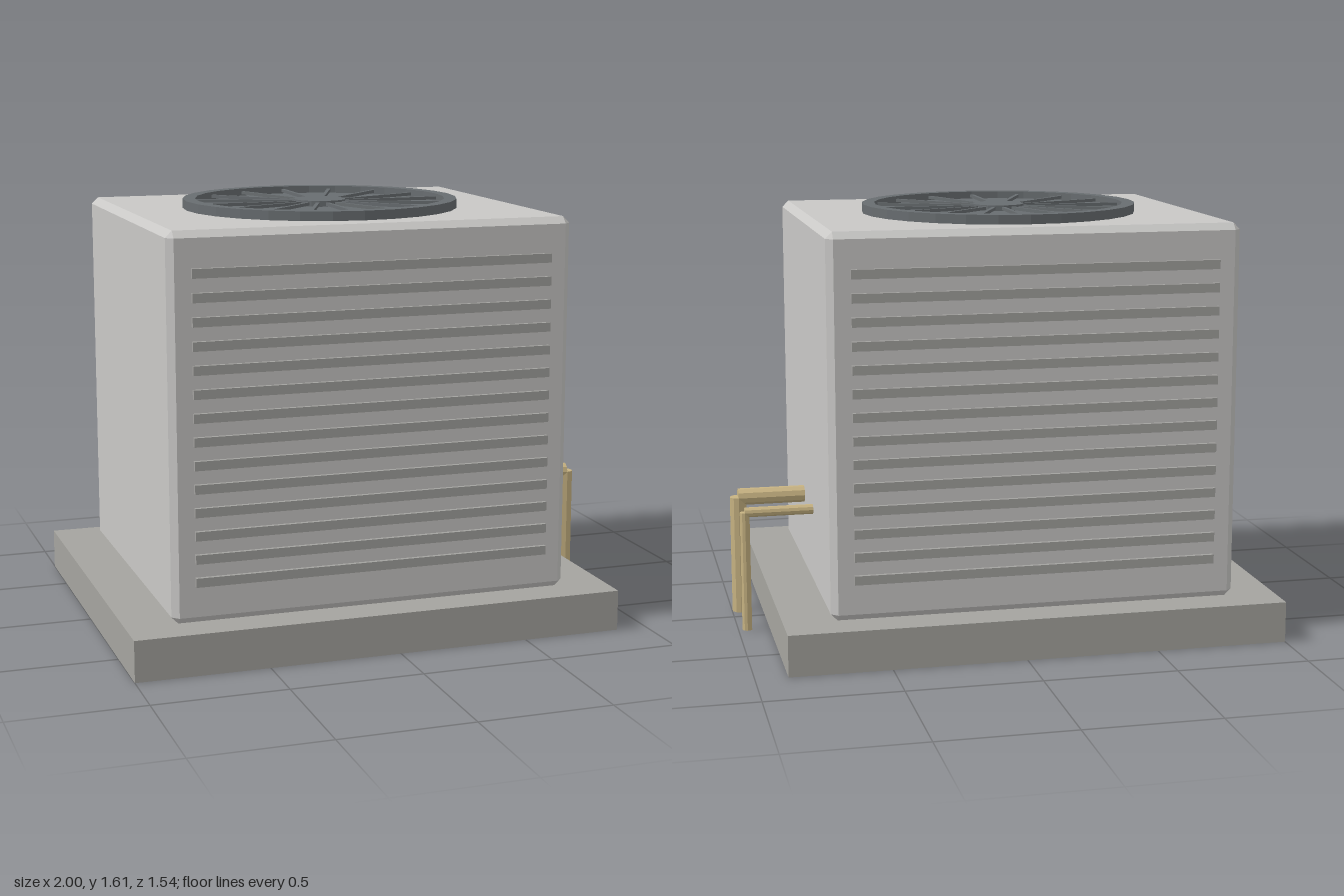
import * as THREE from 'three';
import { ConvexGeometry } from 'three/addons/geometries/ConvexGeometry.js';

const mat = (name, color) => {
  const m = new THREE.MeshStandardMaterial({ color });
  m.name = name;
  m.flatShading = true;
  return m;
};

// Box with a flat chamfer on every edge, centred on the origin
function chamferedBox(w, h, d, c) {
  const points = [];
  for (const sx of [-1, 1]) for (const sy of [-1, 1]) for (const sz of [-1, 1]) {
    for (let axis = 0; axis < 3; axis++) {
      const half = [w / 2 - c, h / 2 - c, d / 2 - c];
      half[axis] += c;
      points.push(new THREE.Vector3(sx * half[0], sy * half[1], sz * half[2]));
    }
  }
  return new ConvexGeometry(points);
}

export function createModel() {
  const model = new THREE.Group();
  model.name = 'airConditionerUnit';
  const concrete = mat('concrete', 0xa5a49f);
  const casing = mat('casing grey', 0xc9c8c6);
  const slatGrey = mat('slat grey', 0xa3a29f);
  const fanGrey = mat('fan grey', 0x686d70);
  const brass = mat('brass', 0xc8b483);

  const add = (parent, name, geometry, material, x = 0, y = 0, z = 0) => {
    const mesh = new THREE.Mesh(geometry, material);
    mesh.name = name;
    mesh.position.set(x, y, z);
    parent.add(mesh);
    return mesh;
  };

  const cx = -0.0625, baseTop = 0.155, bodyTop = 1.575;

  // Ground slab and casing
  add(model, 'slab', new THREE.BoxGeometry(1.88, baseTop, 1.536), concrete, -0.06, baseTop / 2, 0);
  add(model, 'casing', chamferedBox(1.535, bodyTop - baseTop, 1.3, 0.025), casing, cx, (bodyTop + baseTop) / 2, 0);

  // Louvre slats on front and back
  const slat = new THREE.BoxGeometry(1.365, 0.034, 0.03);
  for (const side of [1, -1]) {
    const louvres = new THREE.Group();
    louvres.name = side > 0 ? 'frontLouvres' : 'backLouvres';
    for (let i = 0; i < 14; i++) add(louvres, 'slat', slat, slatGrey, cx, 0.311 + i * 0.0858, side * 0.65);
    model.add(louvres);
  }

  // Fan on the top: ring, disc, spokes and hub
  const fan = new THREE.Group();
  fan.name = 'fan';
  fan.position.set(cx, bodyTop, 0);
  model.add(fan);
  const ringProfile = [[0.482, 0], [0.53, 0], [0.53, 0.035], [0.482, 0.035], [0.482, 0]]
    .map(([r, y]) => new THREE.Vector2(r, y));
  add(fan, 'ring', new THREE.LatheGeometry(ringProfile, 28), fanGrey);
  add(fan, 'disc', new THREE.CylinderGeometry(0.47, 0.47, 0.008, 28), fanGrey, 0, 0.004, 0);
  add(fan, 'hub', new THREE.CylinderGeometry(0.1, 0.1, 0.03, 20), fanGrey, 0, 0.015, 0);
  const spokeShape = new THREE.BoxGeometry(0.4, 0.012, 0.014).translate(0.285, 0.018, 0);
  for (let i = 0; i < 16; i++) add(fan, 'spoke', spokeShape, fanGrey).rotation.y = (i * Math.PI) / 8;

  // Two elbow pipes on the left side
  const pipeX = 0.966, pipeTop = 0.464;
  for (const [name, r, z] of [['largePipe', 0.033, 0.085], ['smallPipe', 0.019, -0.172]]) {
    const pipe = new THREE.Group();
    pipe.name = name;
    add(pipe, 'riser', new THREE.CylinderGeometry(r, r, pipeTop, 10), brass, pipeX, pipeTop / 2, z);
    const run = add(pipe, 'run', new THREE.CylinderGeometry(r, r, pipeX - 0.68, 10), brass, (pipeX + 0.68) / 2, pipeTop, z);
    run.rotation.z = Math.PI / 2;
    model.add(pipe);
  }
  return model;
}
